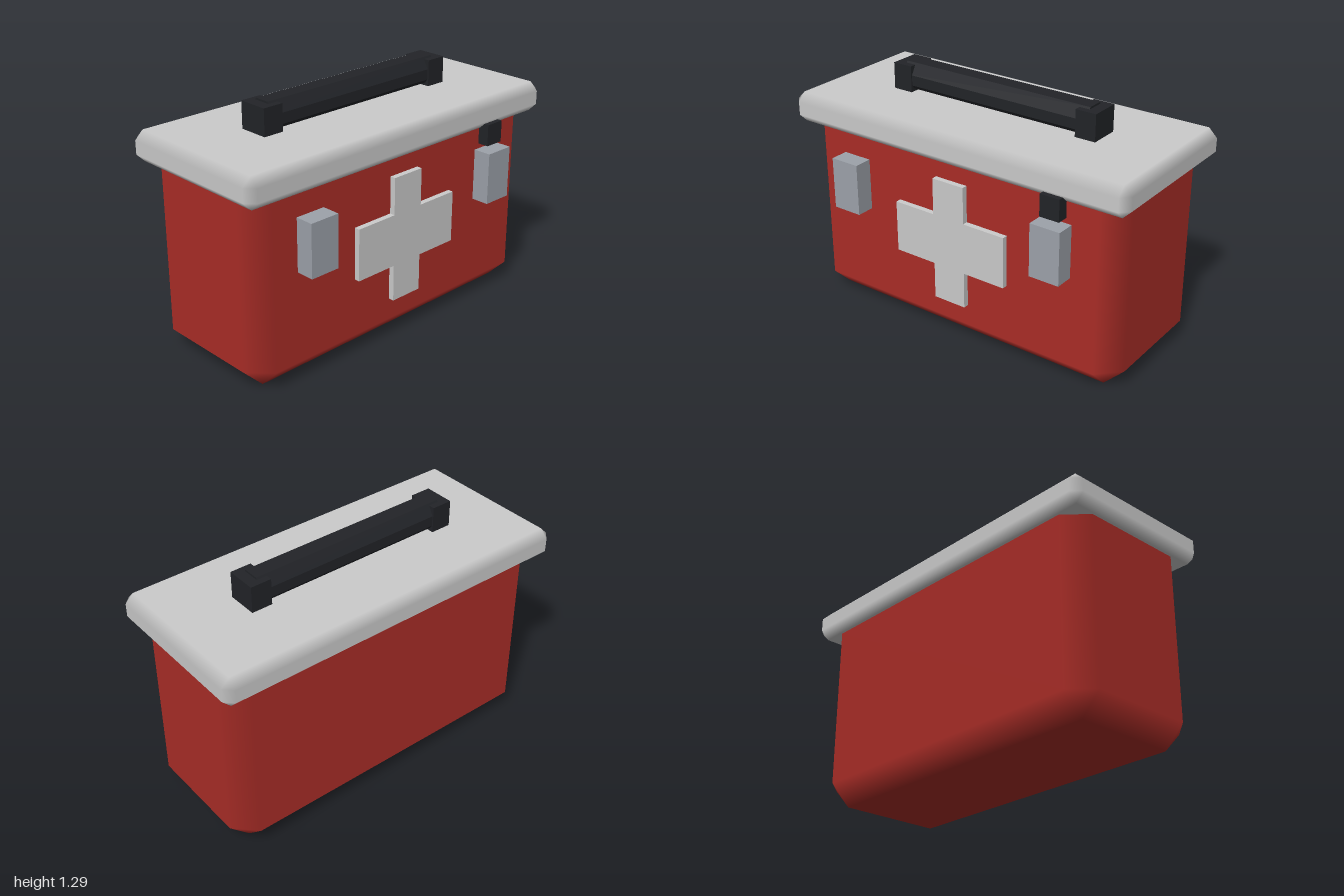
import * as THREE from 'three';

const material = (color) => new THREE.MeshStandardMaterial({ color });

// Chamfered box: every corner has one vertex per adjoining face, carrying
// that face's normal, so the chamfers shade smoothly between flat panels.
function chamferBox(min, max, c) {
  const positions = [], normals = [], index = [];
  const id = (s, axis) => ((s[0] > 0) * 4 + (s[1] > 0) * 2 + (s[2] > 0)) * 3 + axis;
  for (const sx of [-1, 1]) for (const sy of [-1, 1]) for (const sz of [-1, 1]) {
    const s = [sx, sy, sz];
    for (let axis = 0; axis < 3; axis++) {
      s.forEach((sign, k) => {
        const side = sign > 0 ? max[k] : min[k];
        positions.push(k === axis ? side : side - sign * c);
        normals.push(k === axis ? sign : 0);
      });
    }
  }
  const point = (i) => new THREE.Vector3().fromArray(positions, i * 3);
  const centre = new THREE.Vector3(...min).add(new THREE.Vector3(...max)).multiplyScalar(0.5);
  const tri = (a, b, d) => {
    const p = point(a);
    const n = point(b).sub(p).cross(point(d).sub(p));
    if (n.dot(p.sub(centre)) > 0) index.push(a, b, d);
    else index.push(a, d, b);
  };
  const quad = (a, b, d, e) => { tri(a, b, d); tri(a, d, e); };
  const at = (axis, s, u, su, v, sv, owner) => {
    const signs = [0, 0, 0];
    signs[axis] = s; signs[u] = su; signs[v] = sv;
    return id(signs, owner);
  };
  for (let a = 0; a < 3; a++) {
    const u = (a + 1) % 3, v = (a + 2) % 3;
    for (const s of [-1, 1]) {
      // flat panel
      quad(...[[-1, -1], [1, -1], [1, 1], [-1, 1]].map(([p, q]) => at(a, s, u, p, v, q, a)));
      // edge chamfers running along v
      for (const t of [-1, 1]) {
        quad(at(a, s, u, t, v, -1, a), at(a, s, u, t, v, -1, u),
          at(a, s, u, t, v, 1, u), at(a, s, u, t, v, 1, a));
      }
    }
  }
  for (let k = 0; k < 8; k++) tri(k * 3, k * 3 + 1, k * 3 + 2);
  const g = new THREE.BufferGeometry();
  g.setAttribute('position', new THREE.Float32BufferAttribute(positions, 3));
  g.setAttribute('normal', new THREE.Float32BufferAttribute(normals, 3));
  g.setIndex(index);
  return g;
}

// Box given by its two extreme corners
function boxBetween([x0, y0, z0], [x1, y1, z1]) {
  return new THREE.BoxGeometry(x1 - x0, y1 - y0, z1 - z0)
    .translate((x0 + x1) / 2, (y0 + y1) / 2, (z0 + z1) / 2);
}

export function createModel() {
  const model = new THREE.Group();
  model.name = 'firstAidBox';
  const red = material(0xaa2d27), grey = material(0xcccccc);
  const steel = material(0x9da2aa), black = material(0x222428);
  const add = (name, geometry, mat, parent = model) => {
    const mesh = new THREE.Mesh(geometry, mat);
    mesh.name = name;
    parent.add(mesh);
    return mesh;
  };

  // Case and lid
  add('body', chamferBox([-0.945, 0, -0.41], [0.945, 1.09, 0.37], 0.11), red);
  add('lid', chamferBox([-1, 0.98, -0.465], [1, 1.14, 0.423], 0.045), grey);

  // Raised cross on the front
  const w = 0.093, arm = 0.332, top = 0.89, bottom = 0.225, high = 0.695, low = 0.42;
  const cross = new THREE.Shape([
    [-w, bottom], [w, bottom], [w, low], [arm, low], [arm, high], [w, high],
    [w, top], [-w, top], [-w, high], [-arm, high], [-arm, low], [-w, low],
  ].map(([x, y]) => new THREE.Vector2(x, y)));
  add('cross', new THREE.ExtrudeGeometry(cross, { depth: 0.04, bevelEnabled: false })
    .translate(0, 0, 0.36), grey);

  // Latch blocks, and the single clip under the lid
  for (const [name, x] of [['leftLatch', 0.61], ['rightLatch', -0.612]]) {
    add(name, boxBetween([x - 0.082, 0.587, 0.36], [x + 0.082, 0.863, 0.468]), steel);
  }
  add('clip', boxBetween([0.555, 0.89, 0.36], [0.662, 1.005, 0.43]), black);

  // Handle: two end blocks and a bevelled grip
  const handle = new THREE.Group();
  handle.name = 'handle';
  model.add(handle);
  for (const [name, x] of [['leftMount', 0.555], ['rightMount', -0.555]]) {
    add(name, boxBetween([x - 0.056, 1.13, -0.103], [x + 0.056, 1.28, 0.06]), black, handle);
  }
  const grip = new THREE.Shape([
    [-0.075, 1.175], [-0.06, 1.155], [0.06, 1.155], [0.075, 1.175],
    [0.075, 1.23], [0.042, 1.29], [-0.042, 1.29], [-0.075, 1.23],
  ].map(([z, y]) => new THREE.Vector2(z, y)));
  add('grip', new THREE.ExtrudeGeometry(grip, { depth: 1.11, bevelEnabled: false })
    .translate(0, 0, -0.555).rotateY(Math.PI / 2).translate(0, 0, -0.022), black, handle);

  return model;
}
